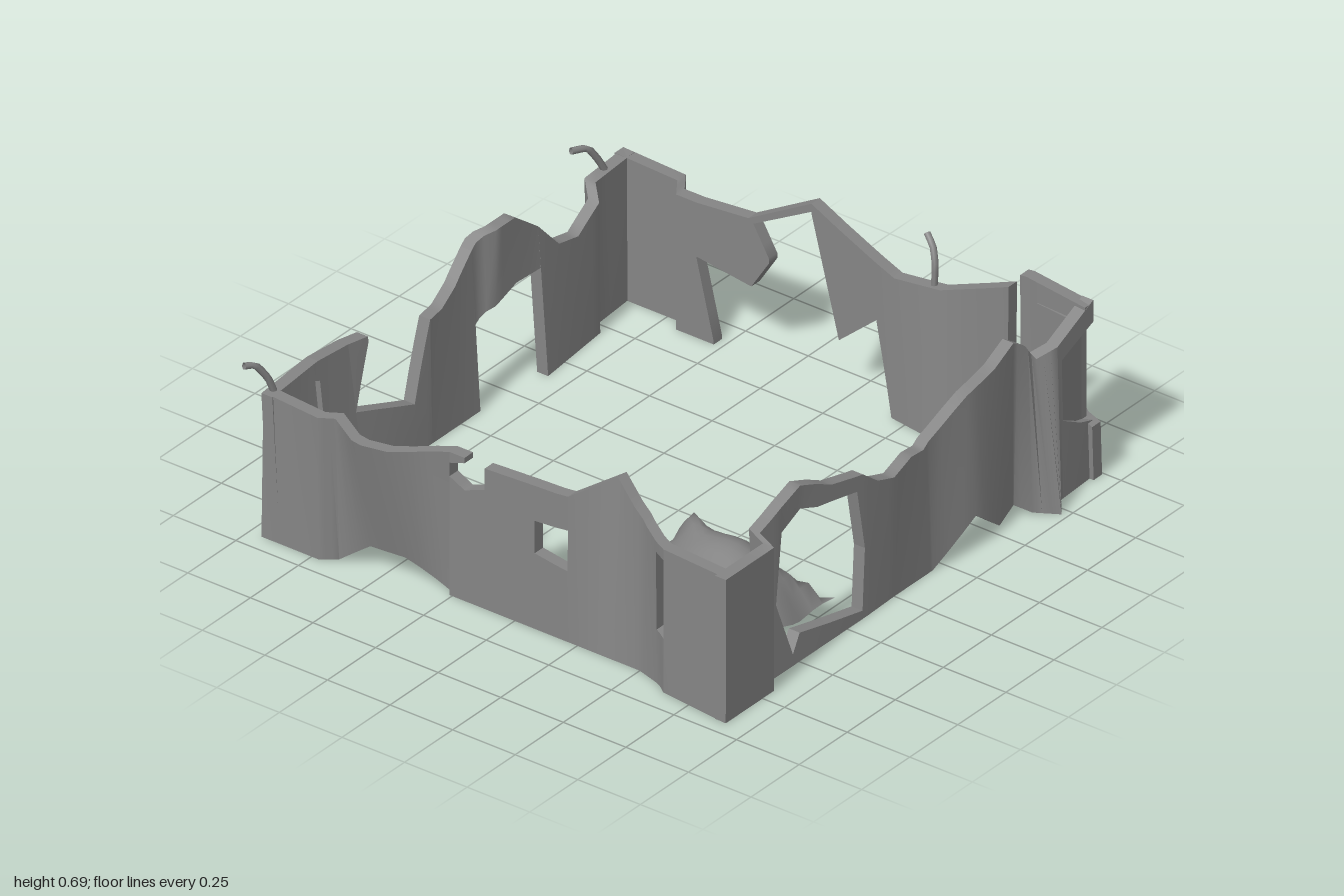
import * as THREE from 'three';
import { toCreasedNormals } from 'three/addons/utils/BufferGeometryUtils.js';

const stone = new THREE.MeshStandardMaterial({ color: 0x858585, side: THREE.DoubleSide });
stone.name = 'grey stone';
const HALF = 0.022; // half the wall thickness
const HEIGHT = 0.53; // usual wall height

// Offset of a wall from its axis at u and y; path rows: [u, offset at ground, offset at top]
function offset(path, u, y) {
  let i = 0;
  while (i < path.length - 2 && u > path[i + 1][0]) i++;
  const [a, b] = [path[i], path[i + 1]];
  const t = THREE.MathUtils.clamp((u - a[0]) / (b[0] - a[0]), 0, 1);
  const low = a[1] + (b[1] - a[1]) * t;
  const high = a[2] + (b[2] - a[2]) * t;
  return low + (high - low) * Math.min(y / HEIGHT, 1);
}

// Solid strip of wall; rows: [u, bottom, top, shift of the top along u]
function strip(path, rows, alongZ) {
  const fine = [];
  rows.forEach((r, i) => {
    if (i === 0) return fine.push(r);
    const p = rows[i - 1];
    for (let k = 1; k <= 3; k++) {
      fine.push([0, 1, 2, 3].map((j) => (p[j] ?? 0) + ((r[j] ?? 0) - (p[j] ?? 0)) * k / 3));
    }
  });
  const pos = [], idx = [];
  for (const [u, lo, hi, shift = 0] of fine) {
    for (const [v, y, s] of [[u, lo, 1], [u + shift, hi, 1], [u + shift, hi, -1], [u, lo, -1]]) {
      const d = offset(path, v, y) + s * HALF;
      pos.push(...(alongZ ? [d, y, v] : [v, y, d]));
    }
  }
  const tri = (a, b, c) => (alongZ ? idx.push(a, c, b) : idx.push(a, b, c));
  const last = (fine.length - 1) * 4;
  for (let k = 0; k < last; k += 4) {
    for (let i = 0; i < 4; i++) {
      const j = (i + 1) % 4;
      tri(k + i, k + 4 + i, k + 4 + j);
      tri(k + i, k + 4 + j, k + j);
    }
  }
  tri(0, 1, 2); tri(0, 2, 3);
  tri(last, last + 2, last + 1); tri(last, last + 3, last + 2);
  const g = new THREE.BufferGeometry();
  g.setAttribute('position', new THREE.Float32BufferAttribute(pos, 3));
  g.setIndex(idx);
  return toCreasedNormals(g, 0.95);
}

function wall(name, path, strips, alongZ = false) {
  const group = new THREE.Group();
  group.name = name;
  for (const [part, rows, ownPath = path] of strips) {
    const m = new THREE.Mesh(strip(ownPath, rows, alongZ), stone);
    m.name = part;
    group.add(m);
  }
  return group;
}

// Bent reinforcement rod sticking out of a wall
function rod(name, ...points) {
  const path = new THREE.CatmullRomCurve3(points.map((p) => new THREE.Vector3(...p)), false, 'catmullrom', 0.2);
  const m = new THREE.Mesh(new THREE.TubeGeometry(path, 8, 0.012, 6), stone);
  m.name = name;
  return m;
}

// Heap of rubble: a draped, flat-topped sheet with pulled-out corners
function rubble() {
  const g = new THREE.PlaneGeometry(2, 2, 14, 14).rotateX(-Math.PI / 2);
  const p = g.attributes.position;
  for (let i = 0; i < p.count; i++) {
    const a = p.getX(i), b = p.getZ(i);
    const edge = Math.max(Math.abs(a), Math.abs(b));
    const pull = 1 + 0.1 * a * a * b * b;
    const ripple = 0.012 * Math.sin(a * 5 + b * 2) + 0.01 * Math.cos(b * 6 - a);
    const y = 0.04 + (0.2 - 0.035 * b) * (1 - Math.pow(edge, 4)) + ripple;
    const x = -0.46 + a * 0.25 * pull + 0.012 * Math.sin(b * 6);
    p.setXYZ(i, x, y, 0.475 + b * 0.27 * pull + 0.012 * Math.sin(a * 6));
  }
  g.computeVertexNormals();
  const m = new THREE.Mesh(g, stone);
  m.name = 'rubbleHeap';
  return m;
}

export function createModel() {
  const model = new THREE.Group();
  model.name = 'ruinedWalls';

  // Front wall with an arched hole and a dented corner
  model.add(wall('frontWall', [
    [-0.93, 0.89, 0.89], [-0.69, 0.89, 0.89], [-0.66, 0.845, 0.81], [-0.45, 0.845, 0.81],
    [-0.15, 0.845, 0.83], [0, 0.84, 0.84], [0.2, 0.84, 0.82], [0.39, 0.89, 0.84],
    [0.62, 0.84, 0.84], [0.72, 0.955, 0.84], [0.79, 0.9, 0.885], [0.98, 0.89, 0.89],
  ], [
    ['cornerPanel', [[-0.94, 0, 0.53], [-0.69, 0, 0.53], [-0.66, 0, 0.54], [-0.6, 0, 0.56]]],
    ['holeSill', [[-0.6, 0, 0.25], [-0.53, 0, 0.04], [-0.49, 0, 0.1], [-0.36, 0, 0.07], [-0.17, 0, 0.03], [-0.15, 0, 0.25]]],
    ['holeArch', [[-0.6, 0.25, 0.56], [-0.55, 0.49, 0.58], [-0.45, 0.53, 0.615], [-0.37, 0.5, 0.585],
      [-0.3, 0.49, 0.55], [-0.18, 0.47, 0.525], [-0.15, 0.25, 0.52]]],
    ['brokenPanel', [[-0.15, 0, 0.52], [-0.08, 0, 0.465], [0, 0, 0.44], [0.1, 0, 0.465], [0.17, 0, 0.455], [0.2, 0, 0.47],
      [0.38, 0.13, 0.56], [0.52, 0.02, 0.59], [0.62, 0.04, 0.64], [0.66, 0.01, 0.6, 0.02], [0.72, 0, 0.53, 0.01],
      [0.79, 0, 0.56], [0.81, 0, 0.57]]],
    ['cornerBase', [[0.81, 0, 0.28], [0.9, 0, 0.23], [0.99, 0, 0.2]]],
    ['cornerTop', [[0.81, 0.5, 0.57], [0.97, 0.57, 0.65]]],
    ['cornerDent', [[0.81, 0.26, 0.52], [0.96, 0.2, 0.58]], [[0.81, 0.885, 0.885], [0.96, 0.865, 0.865]]],
  ]));

  // Back wall with a deep notch, a crack and a broken doorway
  model.add(wall('backWall', [
    [-0.93, -0.9, -0.93], [-0.69, -0.89, -0.95], [-0.5, -0.89, -0.96], [-0.4, -0.89, -0.95],
    [-0.15, -0.89, -0.9], [0.14, -0.89, -0.93], [0.18, -0.89, -0.89], [0.4, -0.85, -0.89],
    [0.71, -0.88, -0.885], [0.75, -0.92, -0.93], [0.96, -0.935, -0.935],
  ], [
    ['cornerPanel', [[-0.93, 0, 0.53], [-0.69, 0, 0.53]]],
    ['crackSill', [[-0.69, 0, 0.22], [-0.665, 0, 0.25]]],
    ['crackTop', [[-0.69, 0.47, 0.53], [-0.665, 0.46, 0.53]]],
    ['crackPanel', [[-0.665, 0, 0.53], [-0.5, 0, 0.51]]],
    ['overhang', [[-0.5, 0.27, 0.51], [-0.41, 0.48, 0.5]]],
    ['notchSill', [[-0.5, 0, 0.27], [-0.23, 0, 0.18], [-0.15, 0, 0.455]]],
    ['middlePanel', [[-0.15, 0, 0.455], [-0.08, 0, 0.46], [0, 0, 0.5], [0.1, 0, 0.58]]],
    ['lintel', [[0.1, 0.31, 0.58], [0.18, 0.35, 0.63], [0.28, 0.39, 0.63], [0.4, 0.39, 0.54]]],
    ['endPanel', [[0.4, 0, 0.54], [0.5, 0, 0.43], [0.6, 0, 0.41], [0.71, 0, 0.48], [0.75, 0, 0.52], [0.96, 0, 0.53]]],
  ]));

  // Right wall with a wide breach under a thin beam
  model.add(wall('rightWall', [
    [-0.96, 0.94, 0.94], [-0.71, 0.94, 0.94], [-0.68, 0.895, 0.895], [0.1, 0.895, 0.895],
    [0.37, 0.855, 0.9], [0.6, 0.95, 0.94], [0.66, 0.97, 0.965], [0.93, 0.97, 0.95],
  ], [
    ['backPanel', [[-0.96, 0, 0.53], [-0.71, 0, 0.52], [-0.68, 0, 0.5], [-0.6, 0, 0.5]]],
    ['breachFoot', [[-0.6, 0, 0.3], [-0.53, 0, 0.01]]],
    ['overhang', [[-0.6, 0.3, 0.5], [-0.38, 0.27, 0.52], [-0.31, 0.38, 0.4]]],
    ['beam', [[-0.39, 0.495, 0.52], [-0.14, 0.635, 0.665]]],
    ['brokenPanel', [[-0.14, 0.63, 0.665], [-0.03, 0.2, 0.61], [0.12, 0.33, 0.54], [0.19, 0, 0.51],
      [0.37, 0, 0.53], [0.6, 0, 0.61, 0.01]]],
    ['crackSill', [[0.59, 0, 0.2], [0.65, 0, 0.16]]],
    ['cornerPost', [[0.645, 0, 0.66], [0.71, 0, 0.655]]],
    ['cornerBase', [[0.71, 0, 0.49], [0.88, 0, 0.22], [0.93, 0, 0.2]]],
    ['cornerTop', [[0.71, 0.57, 0.655], [0.91, 0.57, 0.64]]],
    ['cornerDent', [[0.71, 0.47, 0.58], [0.89, 0.19, 0.58]], [[0.71, 0.96, 0.96], [0.89, 0.94, 0.94]]],
  ], true));

  // Left wall with an outward bulge, two windows and a slit
  model.add(wall('leftWall', [
    [-0.95, -0.91, -0.9], [-0.72, -0.91, -0.92], [-0.67, -0.87, -0.89], [-0.53, -0.84, -0.975],
    [-0.41, -0.83, -0.95], [-0.27, -0.83, -0.83], [0.2, -0.83, -0.83], [0.36, -0.83, -0.76],
    [0.5, -0.83, -0.81], [0.6, -0.86, -0.87], [0.64, -0.89, -0.89], [0.91, -0.92, -0.91],
  ], [
    ['backPanel', [[-0.95, 0, 0.53], [-0.72, 0, 0.53], [-0.67, 0, 0.53]]],
    ['bulge', [[-0.67, 0, 0.53], [-0.55, 0.09, 0.53], [-0.42, 0.09, 0.53], [-0.26, 0.02, 0.53]]],
    ['brokenWindowSill', [[-0.26, 0, 0.44], [-0.2, 0, 0.41], [-0.12, 0, 0.44]]],
    ['brokenWindowTop', [[-0.26, 0.49, 0.53], [-0.2, 0.51, 0.53]]],
    ['middlePanel', [[-0.12, 0, 0.52], [0.08, 0, 0.53]]],
    ['windowSill', [[0.08, 0, 0.28], [0.21, 0, 0.26]]],
    ['windowTop', [[0.08, 0.4, 0.53], [0.21, 0.41, 0.535]]],
    ['leaningPanel', [[0.21, 0, 0.535], [0.36, 0, 0.63], [0.45, 0, 0.57], [0.52, 0, 0.54], [0.59, 0, 0.53]]],
    ['slitSill', [[0.59, 0, 0.2], [0.64, 0, 0.2]]],
    ['slitTop', [[0.59, 0.49, 0.53], [0.64, 0.49, 0.53]]],
    ['cornerPanel', [[0.64, 0, 0.53], [0.91, 0, 0.53]]],
  ], true));

  // Rods and rubble
  model.add(
    rod('leftRod', [-0.88, 0.5, -0.93], [-0.91, 0.58, -0.94], [-0.95, 0.64, -0.96], [-0.99, 0.65, -0.975]),
    rod('rightRod', [0.9, 0.5, 0.33], [0.905, 0.6, 0.33], [0.92, 0.65, 0.31], [0.935, 0.68, 0.275]),
    rod('backRod', [0.84, 0.5, -0.93], [0.81, 0.56, -0.94], [0.77, 0.62, -0.955], [0.71, 0.63, -0.975]),
    rubble(),
  );
  return model;
}
